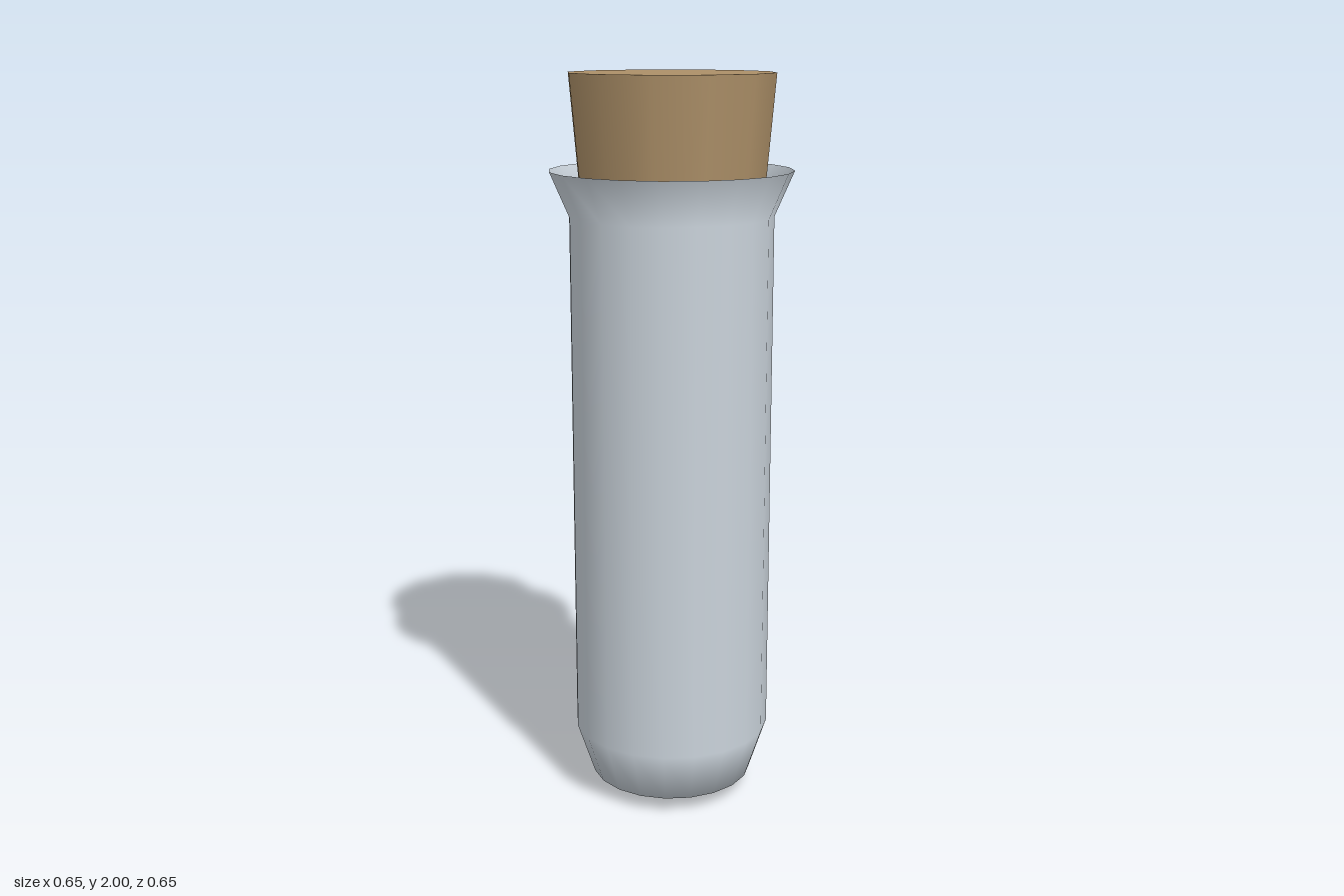
import * as THREE from 'three';

export function createModel() {
  const model = new THREE.Group();
  const glass = new THREE.MeshStandardMaterial({ color: 0xccd5dd, side: THREE.DoubleSide });
  glass.name = 'pale grey glass';
  const corkBrown = new THREE.MeshStandardMaterial({ color: 0xad9068 });
  corkBrown.name = 'cork brown';

  // Open tube: shallow pointed base, straight wall and flared lip
  const profile = [[0, 0], [0.225, 0.045], [0.273, 0.19], [0.273, 1.63], [0.325, 1.75]]
    .map(([r, y]) => new THREE.Vector2(r, y));
  const tube = new THREE.Mesh(new THREE.LatheGeometry(profile, 20), glass);
  tube.name = 'tube';
  model.add(tube);

  // Tapered twelve-sided stopper, pushed into the neck
  const top = 2, bottom = 1.5;
  const stopper = new THREE.Mesh(
    new THREE.CylinderGeometry(0.276, 0.232, top - bottom, 12), corkBrown);
  stopper.name = 'stopper';
  stopper.position.y = (top + bottom) / 2;
  model.add(stopper);

  return model;
}
